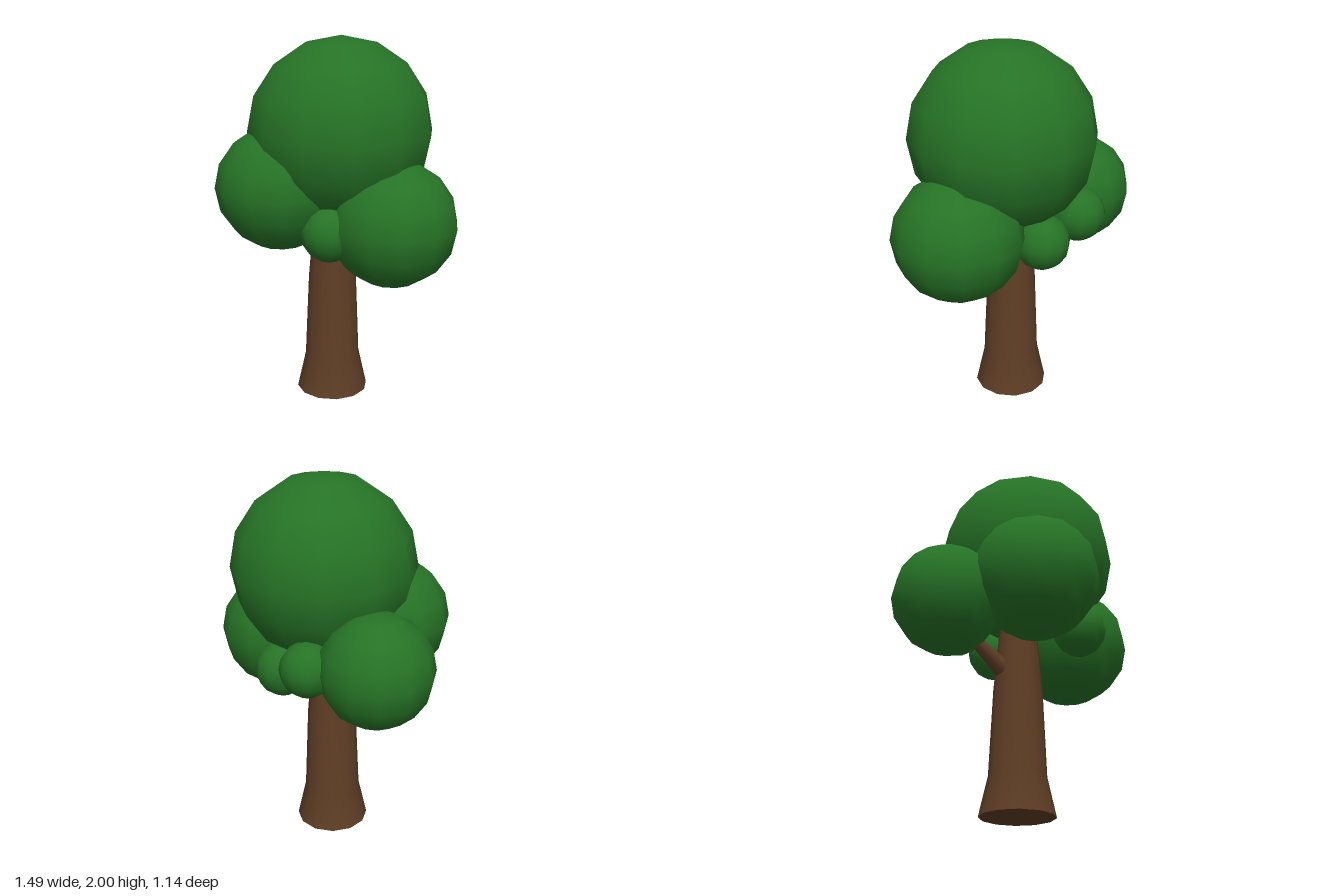
import * as THREE from 'three';

export function createModel() {
  const tree = new THREE.Group();
  tree.name = 'tree';
  const leaf = new THREE.MeshStandardMaterial({ color: 0x267326 });
  leaf.name = 'leaf green';
  const bark = new THREE.MeshStandardMaterial({ color: 0x5f3e25 });
  bark.name = 'bark brown';

  const add = (name, geometry, material, x, y, z) => {
    const mesh = new THREE.Mesh(geometry, material);
    mesh.name = name;
    mesh.position.set(x, y, z);
    tree.add(mesh);
    return mesh;
  };

  // Trunk, flared at the foot and running up into the crown
  const axisZ = -0.07;
  const profile = [[0.2, 0], [0.153, 0.21], [0.133, 0.68], [0.11, 0.95], [0.09, 1.25]]
    .map(([r, y]) => new THREE.Vector2(r, y));
  add('trunk', new THREE.LatheGeometry(profile, 12), bark, 0, 0, axisZ);
  add('trunkBase', new THREE.CircleGeometry(0.2, 12).rotateX(Math.PI / 2), bark, 0, 0, axisZ);

  // Tapered branch leading into the side foliage
  const from = new THREE.Vector3(-0.05, 0.75, axisZ);
  const to = new THREE.Vector3(-0.4, 1.0, axisZ);
  const dir = to.clone().sub(from);
  const mid = from.clone().lerp(to, 0.5);
  const branch = add('branch', new THREE.CylinderGeometry(0.02, 0.055, dir.length(), 8), bark, mid.x, mid.y, mid.z);
  branch.quaternion.setFromUnitVectors(new THREE.Vector3(0, 1, 0), dir.normalize());

  // Foliage balls: name, radius, height scale, centre
  const balls = [
    ['crown', 0.495, 1, 0.06, 1.505, -0.075],
    ['frontFoliage', 0.35, 0.957, -0.08, 1.215, 0.217],
    ['rightFoliage', 0.3, 1, -0.447, 1.105, -0.075],
    ['leftFoliage', 0.345, 0.97, 0.4, 1.06, -0.153],
    ['smallFrontFoliage', 0.15, 1, 0.257, 1.025, 0.147],
    ['smallBackRightFoliage', 0.147, 1, -0.23, 1.09, -0.345],
    ['smallBackFoliage', 0.147, 1, 0.02, 1.0, -0.355],
  ];
  for (const [name, r, sy, x, y, z] of balls) {
    add(name, new THREE.SphereGeometry(r, 12, 8), leaf, x, y, z).scale.y = sy;
  }
  return tree;
}
